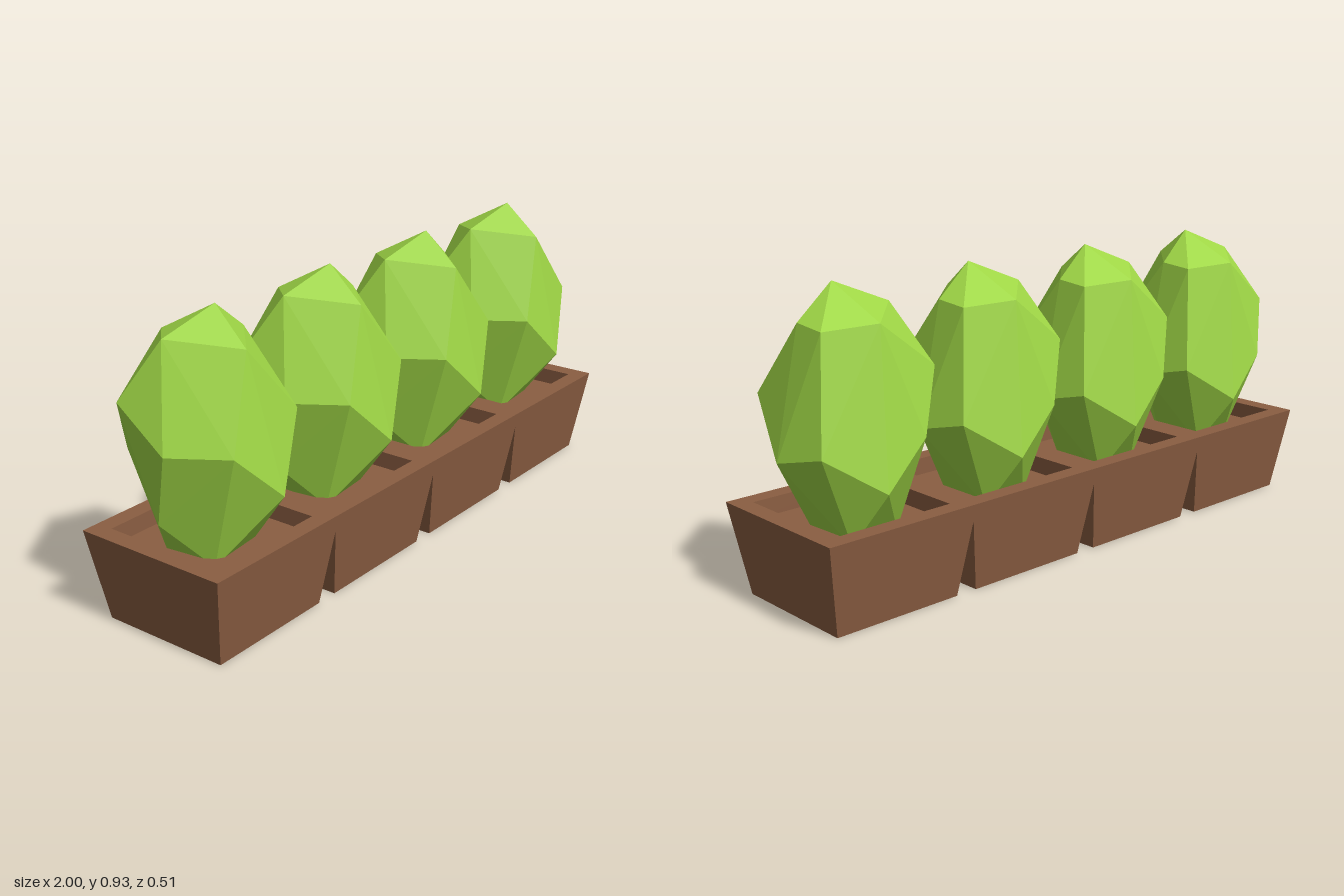
import * as THREE from 'three';
import { ConvexGeometry } from 'three/addons/geometries/ConvexGeometry.js';

const HEIGHT = 0.283, TOP = 0.256, BASE = 0.212, HOLE = 0.2, SOIL = 0.23;
const SPACING = (2 - 2 * TOP) / 3;

// Corners of one faceted bush, relative to its pot centre
const BUSH = [
  [0.028, 0.93, 0.017],
  [0.157, 0.832, 0], [0.157, 0.822, -0.11], [0, 0.832, -0.163],
  [-0.132, 0.86, -0.03], [-0.009, 0.837, 0.16],
  [0.19, 0.613, 0.162], [-0.115, 0.567, 0.2], [-0.218, 0.567, 0.04],
  [-0.207, 0.68, -0.136], [-0.115, 0.5, -0.206], [0.2, 0.486, -0.153],
  [0.242, 0.453, 0], [0.05, 0.409, 0.229], [0.035, 0.37, -0.226],
  [-0.19, 0.342, -0.02],
  [0.09, 0.2, 0.06], [-0.08, 0.2, 0.08], [-0.1, 0.2, -0.08], [0.08, 0.2, -0.11]
];

// Four tapered walls; inward turns the faces to the inside
function squareWalls(topHalf, bottomHalf, y0, y1, inward = false) {
  const g = new THREE.CylinderGeometry(topHalf * Math.SQRT2, bottomHalf * Math.SQRT2, y1 - y0, 4, 1, true);
  g.rotateY(Math.PI / 4).translate(0, (y0 + y1) / 2, 0);
  if (inward) g.scale(-1, 1, 1);
  const flat = g.toNonIndexed();
  flat.computeVertexNormals();
  return flat;
}

// Outline of a rectangle for the rim and its openings
function rectangle(path, cx, hx, hz) {
  path.moveTo(cx - hx, -hz);
  path.lineTo(cx + hx, -hz);
  path.lineTo(cx + hx, hz);
  path.lineTo(cx - hx, hz);
  path.closePath();
  return path;
}

export function createModel() {
  const clay = new THREE.MeshStandardMaterial({ color: 0x8b5e42, flatShading: true });
  clay.name = 'brown clay';
  const leaf = new THREE.MeshStandardMaterial({ color: 0xa0d846, flatShading: true });
  leaf.name = 'leaf green';

  const model = new THREE.Group();
  model.name = 'planterRow';
  const add = (parent, name, geometry, material) => {
    const mesh = new THREE.Mesh(geometry, material);
    mesh.name = name;
    parent.add(mesh);
  };

  // Shared pieces
  const outer = squareWalls(TOP, BASE, 0, HEIGHT);
  const inner = squareWalls(HOLE, HOLE, SOIL, HEIGHT, true);
  const bottom = new THREE.PlaneGeometry(2 * BASE, 2 * BASE).rotateX(Math.PI / 2);
  const soil = new THREE.PlaneGeometry(2 * HOLE, 2 * HOLE).rotateX(-Math.PI / 2).translate(0, SOIL, 0);
  const bush = new ConvexGeometry(BUSH.map(p => new THREE.Vector3(...p)));

  const rim = rectangle(new THREE.Shape(), 0, 1, TOP);
  for (let i = 0; i < 4; i++) {
    const x = (i - 1.5) * SPACING;
    rim.holes.push(rectangle(new THREE.Path(), x, HOLE, HOLE));

    const pot = new THREE.Group();
    pot.name = 'pot';
    pot.position.x = x;
    add(pot, 'potWalls', outer, clay);
    add(pot, 'potInnerWalls', inner, clay);
    add(pot, 'potBottom', bottom, clay);
    add(pot, 'potFloor', soil, clay);
    add(pot, 'bush', bush, leaf);
    model.add(pot);
  }

  // One continuous rim joining the pots
  add(model, 'rim', new THREE.ShapeGeometry(rim).rotateX(-Math.PI / 2).translate(0, HEIGHT, 0), clay);
  return model;
}
